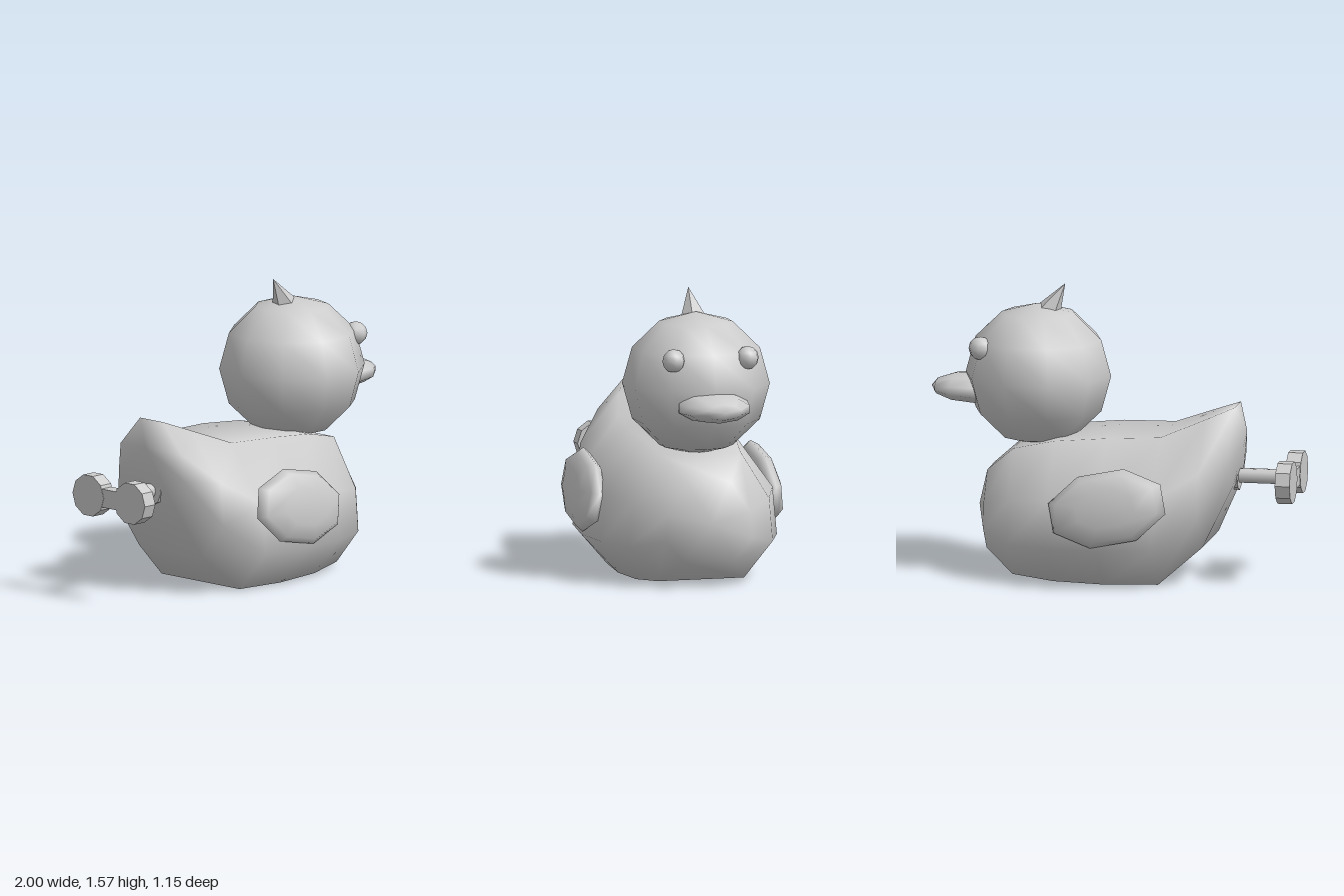
import * as THREE from 'three';

const grey = new THREE.MeshStandardMaterial({ color: 0xcccccc });
grey.name = 'plain grey';

// Faceted copy of a geometry
function faceted(geometry) {
  const g = geometry.index ? geometry.toNonIndexed() : geometry;
  g.computeVertexNormals();
  return g;
}

function add(group, name, geometry, x = 0, y = 0, z = 0) {
  const mesh = new THREE.Mesh(geometry, grey);
  mesh.name = name;
  mesh.position.set(x, y, z);
  group.add(mesh);
  return mesh;
}

// Body: octagonal sections along x, closed by a point at each end
function bodyGeometry() {
  // x, bottom, top, half width, width of the back relative to half width
  const sections = [
    [-0.67, 0.53, 0.95, 0.24, 0.35],
    [-0.52, 0.21, 0.89, 0.39, 0.4],
    [-0.29, 0.01, 0.8, 0.48, 0.48],
    [0, 0.005, 0.79, 0.52, 0.5],
    [0.28, 0.01, 0.765, 0.49, 0.52],
    [0.51, 0.03, 0.71, 0.4, 0.55],
    [0.67, 0.15, 0.57, 0.24, 0.5],
  ];
  const n = 8;
  const pos = [];
  const idx = [];
  for (const [x, bottom, top, w, back] of sections) {
    const half = [[back, 1], [0.95, 0.62], [1, 0.28], [0.6, 0]];
    const ring = [...half, ...half.map(([z, y]) => [-z, y]).reverse()];
    for (const [z, y] of ring) pos.push(x, bottom + (top - bottom) * y, z * w);
  }
  const rear = pos.length / 3;
  pos.push(-0.72, 0.81, 0, 0.735, 0.36, 0);
  const last = (sections.length - 1) * n;
  for (let j = 0; j < n; j++) {
    const k = (j + 1) % n;
    for (let i = 0; i < last; i += n) {
      idx.push(i + j, i + k, i + n + j, i + k, i + n + k, i + n + j);
    }
    idx.push(rear, k, j, last + j, last + k, rear + 1);
  }
  const g = new THREE.BufferGeometry();
  g.setAttribute('position', new THREE.Float32BufferAttribute(pos, 3));
  g.setIndex(idx);
  g.computeVertexNormals();
  return g;
}

export function createModel() {
  const duck = new THREE.Group();
  duck.name = 'windUpDuck';

  add(duck, 'body', bodyGeometry());
  add(duck, 'head', new THREE.SphereGeometry(0.395, 10, 6).scale(1, 0.975, 1), 0.415, 1.078, 0);
  add(duck, 'beak', new THREE.SphereGeometry(1, 10, 6).rotateZ(-Math.PI / 2)
    .scale(0.25, 0.082, 0.2), 0.745, 0.995, 0);

  // Feather tuft leaning back
  const tuft = add(duck, 'tuft', faceted(new THREE.ConeGeometry(0.07, 0.18, 5)), 0.315, 1.497, 0);
  tuft.rotation.z = 0.53;

  // Eyes and wings on both sides
  for (const s of [1, -1]) {
    const side = s > 0 ? 'right' : 'left';
    add(duck, side + 'Eye', new THREE.SphereGeometry(0.063, 8, 6), 0.693, 1.245, s * 0.205);
    const wing = add(duck, side + 'Wing', new THREE.SphereGeometry(1, 8, 6).rotateX(Math.PI / 2)
      .rotateZ(Math.PI / 8).scale(0.335, 0.21, 0.08), -0.05, 0.455, s * 0.492);
    wing.rotation.set(-0.13 * s, 0, -0.2);
  }

  // Wind-up key
  const key = new THREE.Group();
  key.name = 'windUpKey';
  key.position.y = 0.565;
  duck.add(key);
  const rod = (r, len, sides) =>
    faceted(new THREE.CylinderGeometry(r, r, len, sides).rotateZ(Math.PI / 2));
  add(key, 'keyCollar', rod(0.08, 0.08, 8), -0.64);
  add(key, 'keyShaft', new THREE.CylinderGeometry(0.04, 0.04, 0.4, 10).rotateZ(Math.PI / 2), -0.75);
  add(key, 'keyBridge', new THREE.BoxGeometry(0.075, 0.1, 0.2), -0.96);
  for (const s of [1, -1]) add(key, 'keyLobe', rod(0.115, 0.08, 10), -0.96, 0, s * 0.153);

  return duck;
}
